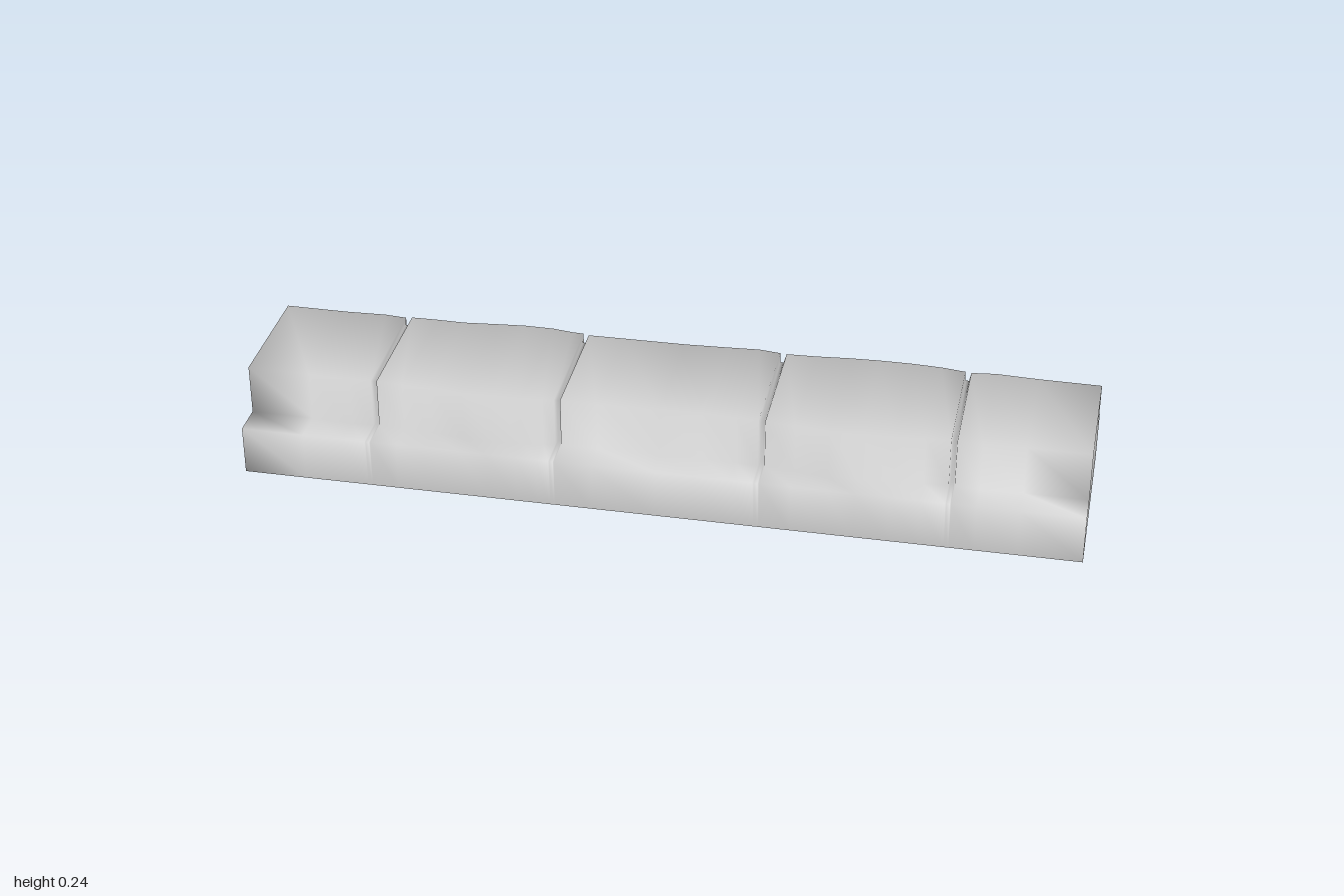
import * as THREE from 'three';

const TOP = 0.243, LEDGE = 0.12, BASE = 0.23;

// Each stone: x range and wavy edge as [x, front half-depth, back half-depth]
const stones = [
  [[-1, 0.15, 0.155], [-0.85, 0.152, 0.154], [-0.75, 0.157, 0.158], [-0.697, 0.153, 0.153]],
  [[-0.683, 0.153, 0.157], [-0.62, 0.157, 0.158], [-0.55, 0.161, 0.157], [-0.47, 0.169, 0.165],
    [-0.4, 0.172, 0.171], [-0.33, 0.167, 0.17], [-0.28, 0.159, 0.162], [-0.252, 0.156, 0.16]],
  [[-0.238, 0.154, 0.155], [-0.15, 0.156, 0.156], [0, 0.152, 0.157], [0.1, 0.151, 0.162],
    [0.18, 0.152, 0.167], [0.232, 0.153, 0.16]],
  [[0.248, 0.153, 0.158], [0.32, 0.163, 0.161], [0.4, 0.171, 0.168], [0.47, 0.171, 0.171],
    [0.55, 0.163, 0.171], [0.62, 0.157, 0.167], [0.678, 0.154, 0.158]],
  [[0.692, 0.153, 0.155], [0.75, 0.157, 0.162], [0.85, 0.152, 0.157], [1, 0.152, 0.155]],
];

// Stations along x, with a narrow sunken joint between neighbouring stones
function stations() {
  const list = [];
  stones.forEach((stone, i) => {
    stone.forEach(([x, f, b]) => list.push([x, f, b, TOP]));
    if (i < stones.length - 1) {
      const x = (stone[stone.length - 1][0] + stones[i + 1][0][0]) / 2;
      for (const s of [-0.004, 0.004]) list.push([x + s, 0.138, 0.138, TOP - 0.012]);
    }
  });
  return list;
}

export function createModel() {
  const group = new THREE.Group();
  const rows = stations();
  const pos = [], index = [];

  // Stepped cross-section, open underneath, from the back round to the front
  for (const [x, f, b, h] of rows) {
    const profile = [[-BASE, 0], [-BASE, LEDGE], [-b, LEDGE], [-b, h],
      [f, h], [f, LEDGE], [BASE, LEDGE], [BASE, 0]];
    for (const [z, y] of profile) pos.push(x, y, z);
  }
  for (let i = 0; i < rows.length - 1; i++) {
    for (let j = 0; j < 7; j++) {
      const a = i * 8 + j, d = a + 8;
      index.push(a, a + 1, d + 1, a, d + 1, d);
    }
  }

  // End faces
  const last = (rows.length - 1) * 8;
  for (const [a, b, c] of [[0, 1, 2], [0, 2, 5], [0, 5, 7], [5, 6, 7], [2, 3, 4], [2, 4, 5]]) {
    index.push(last + a, last + b, last + c, a, c, b);
  }

  const geometry = new THREE.BufferGeometry();
  geometry.setAttribute('position', new THREE.Float32BufferAttribute(pos, 3));
  geometry.setIndex(index);
  geometry.computeVertexNormals();

  const wall = new THREE.Mesh(geometry,
    new THREE.MeshStandardMaterial({ color: 0xcccccc, side: THREE.DoubleSide }));
  wall.name = 'stoneKerb';
  group.add(wall);
  return group;
}
